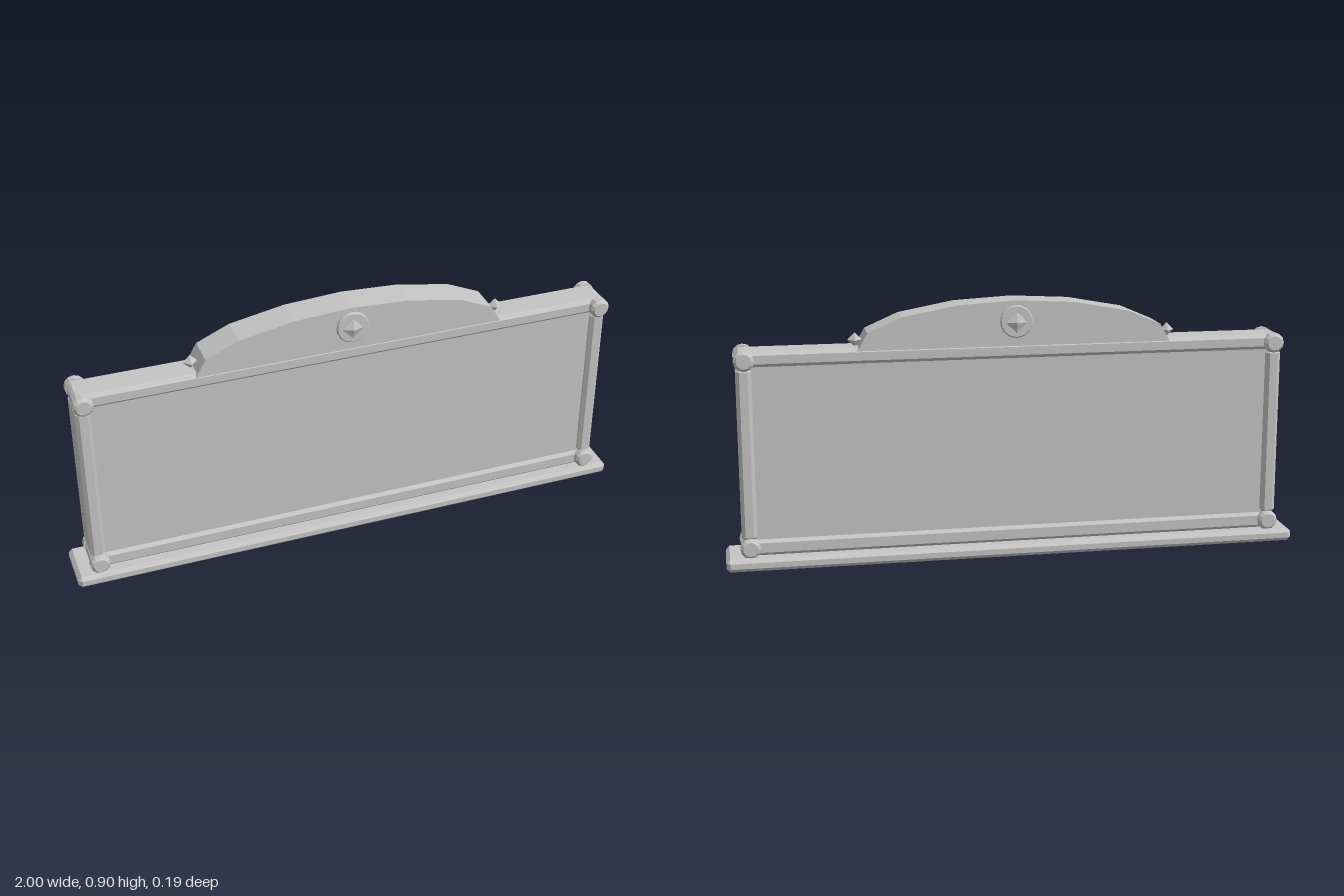
import * as THREE from 'three';
import { ConvexGeometry } from 'three/addons/geometries/ConvexGeometry.js';

const stone = new THREE.MeshStandardMaterial({ color: 0xc4c4c4 });
stone.name = 'greyStone';

export function createModel() {
  const model = new THREE.Group();
  model.name = 'signBoard';

  const add = (name, geometry, x, y, z = 0) => {
    const mesh = new THREE.Mesh(geometry, stone);
    mesh.name = name;
    mesh.position.set(x, y, z);
    model.add(mesh);
    return mesh;
  };

  // Box with all edges cut at 45 degrees
  const chamferBox = (w, h, d, c) => {
    const half = [w / 2, h / 2, d / 2];
    const points = [];
    for (const sx of [-1, 1]) for (const sy of [-1, 1]) for (const sz of [-1, 1])
      for (let axis = 0; axis < 3; axis++) {
        const p = half.map((v, i) => (i === axis ? v : v - c));
        points.push(new THREE.Vector3(p[0] * sx, p[1] * sy, p[2] * sz));
      }
    return new ConvexGeometry(points);
  };

  // Flat-sided disc with a bevelled outer rim, from z = 0 towards +z
  const disc = (radius, depth, bevel, sides) => {
    const profile = [[0, 0], [radius, 0], [radius, depth - bevel], [radius - bevel, depth], [0, depth]]
      .map(([r, y]) => new THREE.Vector2(r, y));
    const g = new THREE.LatheGeometry(profile, sides).rotateX(Math.PI / 2).toNonIndexed();
    g.computeVertexNormals();
    return g;
  };

  // Plinth, panel and frame
  add('base', chamferBox(2, 0.045, 0.187, 0.013), 0, 0.0225);
  add('panel', new THREE.BoxGeometry(1.8, 0.62, 0.094), 0, 0.4);
  add('topRail', chamferBox(1.89, 0.055, 0.116, 0.013), 0, 0.7225);
  add('bottomRail', chamferBox(1.89, 0.06, 0.116, 0.013), 0, 0.073);
  for (const s of [-1, 1]) add('post', chamferBox(0.052, 0.595, 0.132, 0.012), s * 0.918, 0.398);

  // Arched crest
  const edge = [[0.54, 0.74], [0.505, 0.8], [0.39, 0.85], [0.2, 0.885]];
  const outline = [...edge, [0, 0.896], ...edge.map(([x, y]) => [-x, y]).reverse()];
  const shape = new THREE.Shape(outline.map(([x, y]) => new THREE.Vector2(x, y)));
  const crest = new THREE.ExtrudeGeometry(shape, { depth: 0.114, bevelEnabled: false });
  add('crest', crest.translate(0, 0, -0.057), 0, 0);

  // Discs on both faces
  const cornerDisc = disc(0.035, 0.034, 0.01, 12);
  const medallionDisc = disc(0.056, 0.016, 0.004, 20);
  const gem = new THREE.ConeGeometry(0.042, 0.015, 4).toNonIndexed();
  gem.rotateX(Math.PI / 2);
  gem.computeVertexNormals();
  for (const face of [1, -1]) {
    const turn = face > 0 ? 0 : Math.PI;
    for (const s of [-1, 1]) for (const y of [0.075, 0.721])
      add('cornerDisc', cornerDisc, s * 0.916, y, face > 0 ? 0.05 : -0.045).rotation.y = turn;
    add('medallion', medallionDisc, 0, 0.825, face * 0.052).rotation.y = turn;
    add('medallionGem', gem, 0, 0.822, face * 0.0735).rotation.y = turn;
  }

  // Small gems at the ends of the crest
  for (const s of [-1, 1]) add('crestGem', new THREE.OctahedronGeometry(0.025), s * 0.543, 0.77);

  return model;
}
